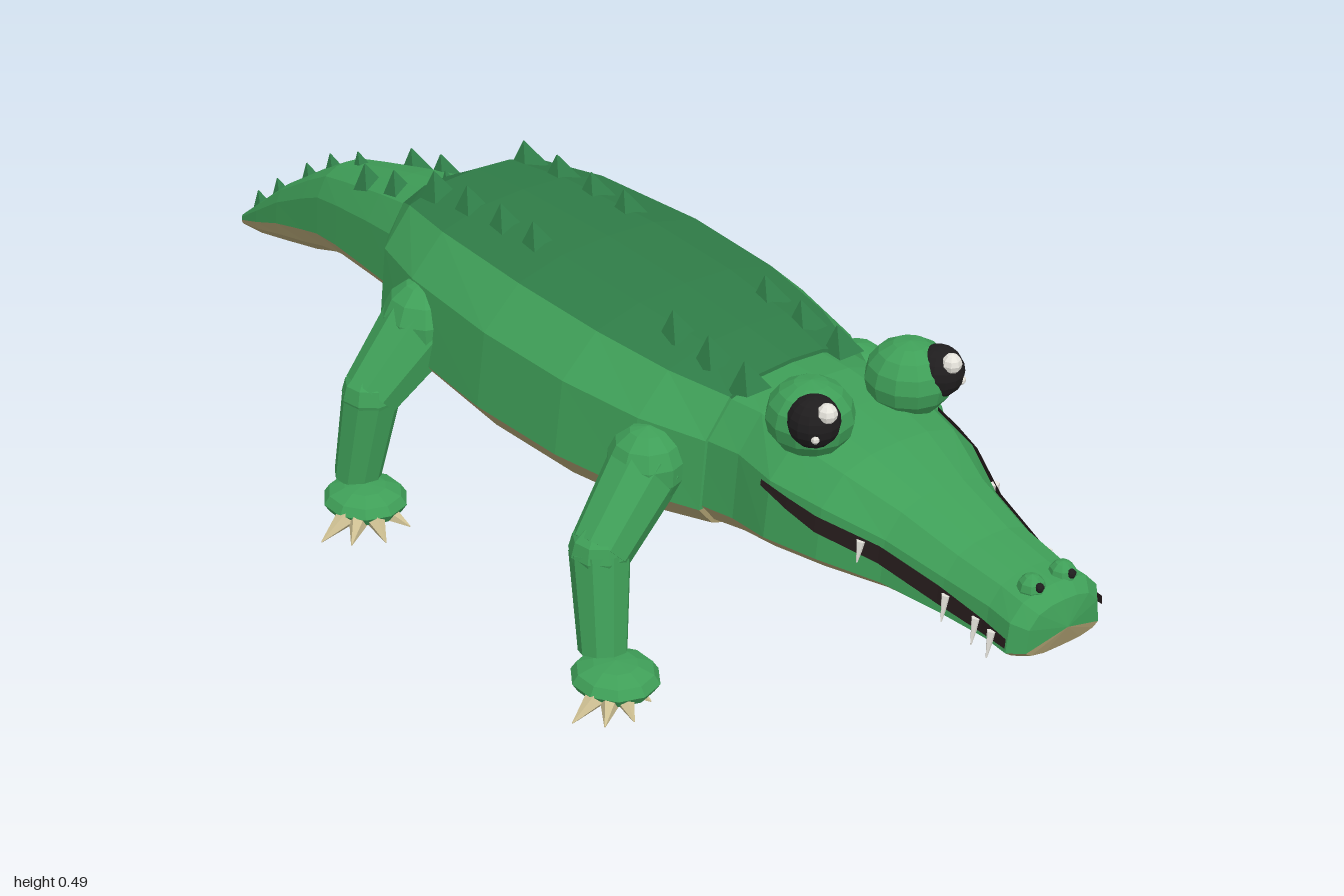
import * as THREE from 'three';

const mat = (name, color) => Object.assign(new THREE.MeshStandardMaterial({ color }), { name });
const V = (x, y, z) => new THREE.Vector3(x, y, z);

// Half cross-section from top centre to bottom centre: [width factor, height factor]
const HALF = [[0, 1], [0.35, 0.98], [0.68, 0.88], [0.94, 0.58], [1, 0], [0.86, -0.55], [0.5, -0.95], [0, -1]];
const RING = [...HALF, ...HALF.slice(1, -1).reverse().map(([w, v]) => [-w, v])];

// Sections: [x, top, colour seam, bottom, half width]
const TAIL = [
  [-1, 0.08, 0.07, 0.062, 0.005], [-0.93, 0.135, 0.1, 0.075, 0.022], [-0.84, 0.205, 0.14, 0.1, 0.04],
  [-0.74, 0.27, 0.175, 0.128, 0.056], [-0.68, 0.305, 0.195, 0.15, 0.066], [-0.61, 0.325, 0.207, 0.172, 0.077],
  [-0.5, 0.355, 0.217, 0.182, 0.094], [-0.39, 0.38, 0.225, 0.19, 0.11],
];
const BODY = [
  [-0.41, 0.385, 0.22, 0.188, 0.12], [-0.33, 0.43, 0.235, 0.183, 0.185], [-0.21, 0.443, 0.242, 0.175, 0.222],
  [0, 0.45, 0.246, 0.168, 0.244], [0.18, 0.447, 0.246, 0.17, 0.238], [0.32, 0.438, 0.243, 0.176, 0.21],
  [0.42, 0.428, 0.24, 0.188, 0.165],
];
const HEAD = [
  [0.38, 0.42, 0.242, 0.184, 0.165], [0.48, 0.425, 0.252, 0.202, 0.154], [0.56, 0.415, 0.264, 0.222, 0.165],
  [0.65, 0.4, 0.266, 0.23, 0.147], [0.74, 0.37, 0.258, 0.234, 0.108], [0.84, 0.343, 0.252, 0.237, 0.088],
  [0.92, 0.332, 0.25, 0.236, 0.08], [0.965, 0.328, 0.25, 0.235, 0.084], [0.985, 0.312, 0.252, 0.24, 0.066],
];

// Faceted skin through the sections; one material group per colour
function loft(name, sections, materials, pick) {
  const n = RING.length, buckets = materials.map(() => []);
  const rings = sections.map(([x, top, seam, low, w]) =>
    RING.map(([a, v]) => V(x, seam + v * (v > 0 ? top - seam : seam - low), a * w)));
  const first = sections[0], last = sections.at(-1);
  const start = V(first[0], first[2], 0), end = V(last[0] + 0.01, last[2] + 0.022, 0);
  for (let k = 0; k < n; k++) {
    const j = (k + 1) % n, out = buckets[pick(Math.min(k, n - 1 - k))];
    out.push(start, rings[0][j], rings[0][k]);
    for (let i = 0; i + 1 < rings.length; i++) {
      const a = rings[i][k], b = rings[i + 1][k], c = rings[i + 1][j], d = rings[i][j];
      out.push(a, d, c, a, c, b);
    }
    out.push(end, rings.at(-1)[k], rings.at(-1)[j]);
  }
  const geo = new THREE.BufferGeometry().setFromPoints(buckets.flat());
  let at = 0;
  buckets.forEach((b, i) => { geo.addGroup(at, b.length, i); at += b.length; });
  geo.computeVertexNormals();
  const mesh = new THREE.Mesh(geo, materials);
  mesh.name = name;
  return mesh;
}

// Point on the side of the head at a given x and y
function headSide(x, y, s, off) {
  const i = Math.max(0, HEAD.findIndex(h => h[0] >= x) - 1), a = HEAD[i], b = HEAD[i + 1];
  const t = (x - a[0]) / (b[0] - a[0]);
  const [, top, seam, , w] = a.map((p, k) => p + (b[k] - p) * t);
  const v = (y - seam) / (top - seam);
  const f = v < 0.58 ? 1 - 0.103 * v : 0.94 - 0.87 * (v - 0.58);
  return V(x, y, s * (w * f + off));
}

export function createModel() {
  const model = new THREE.Group();
  model.name = 'crocodile';
  const green = mat('skin green', 0x3f9f58), back = mat('back green', 0x2f7c47);
  const tan = mat('belly tan', 0xa99b6e), claw = mat('claw tan', 0xcdbf92);
  const dark = mat('mouth dark', 0x261c1c), black = mat('eye black', 0x1f1d1e);
  const white = mat('tooth white', 0xe6e4dc);
  dark.side = THREE.DoubleSide;

  function add(parent, name, geometry, material, p) {
    const geo = geometry.index ? geometry.toNonIndexed() : geometry;
    geo.computeVertexNormals();
    const mesh = new THREE.Mesh(geo, material);
    mesh.name = name;
    if (p) mesh.position.copy(p);
    parent.add(mesh);
    return mesh;
  }
  const ball = (parent, name, p, r, material, ws = 10, hs = 7) =>
    add(parent, name, new THREE.SphereGeometry(r, ws, hs), material, p);
  // Tapered rod from p to q
  function rod(parent, name, p, q, r0, r1, material, sides) {
    const d = q.clone().sub(p);
    const geo = new THREE.CylinderGeometry(r1, r0, d.length(), sides, 1, false, Math.PI / sides);
    const m = add(parent, name, geo, material, p.clone().add(q).multiplyScalar(0.5));
    m.quaternion.setFromUnitVectors(V(0, 1, 0), d.normalize());
    return m;
  }

  // Trunk
  const pick = k => (k >= 4 ? 1 : 0);
  model.add(loft('tail', TAIL, [green, tan], pick));
  model.add(loft('body', BODY, [green, tan, back], k => (k < 2 ? 2 : pick(k))));
  model.add(loft('head', HEAD, [green, tan], pick));

  // Back and tail spikes
  const topAt = (list, x) => {
    const i = Math.max(0, list.findIndex(s => s[0] >= x) - 1), a = list[i], b = list[i + 1];
    return a[1] + (b[1] - a[1]) * (x - a[0]) / (b[0] - a[0]);
  };
  const spike = (x, y, z, r) =>
    rod(model, 'spike', V(x, y - 0.012, z), V(x - 0.012, y + r * 0.9, z), r, 0.001, back, 4);
  for (const s of [1, -1]) {
    for (const x of [-0.31, -0.225, -0.14, -0.06, 0.27, 0.35, 0.43])
      spike(x, topAt(BODY, Math.min(x, 0.41)) - 0.006, s * 0.085, 0.032);
    for (const x of [-0.555, -0.475]) spike(x, topAt(TAIL, x) - 0.006, s * 0.045, 0.027);
  }
  for (const x of [-0.94, -0.88, -0.79, -0.72, -0.64, -0.4]) spike(x, topAt(TAIL, x), 0, 0.018);

  // Legs: x positions of hip, knee, ankle and foot
  const LEGS = [
    { name: 'frontLeg', xs: [0.34, 0.36, 0.39, 0.43], r: 0.06,
      claws: [[0.465, 0.425], [0.5, 0.395], [0.515, 0.355], [0.49, 0.305]] },
    { name: 'hindLeg', xs: [-0.195, -0.2, -0.218, -0.185], r: 0.068,
      claws: [[-0.145, 0.43], [-0.11, 0.4], [-0.085, 0.355], [-0.1, 0.3]] },
  ];
  for (const s of [1, -1]) {
    for (const { name, xs, r, claws } of LEGS) {
      const leg = new THREE.Group();
      leg.name = name;
      model.add(leg);
      const hip = V(xs[0], 0.292, s * 0.195), knee = V(xs[1], 0.195, s * 0.295), ankle = V(xs[2], 0.05, s * 0.313);
      ball(leg, 'hip', hip, r, green);
      rod(leg, 'thigh', hip, knee, r * 0.95, 0.046, green, 9);
      ball(leg, 'knee', knee, 0.046, green, 9, 6);
      rod(leg, 'shin', knee, ankle, 0.045, 0.036, green, 9);
      const foot = V(xs[3], 0.03, s * 0.322);
      ball(leg, 'foot', foot, 1, green, 10, 6).scale.set(0.068, 0.027, 0.064);
      for (const [x, z] of claws) {
        const tip = V(x, 0.012, s * z);
        const base = foot.clone().lerp(tip, 0.45).setY(0.022);
        rod(leg, 'claw', base, tip, 0.016, 0.001, claw, 5);
      }
    }

    // Eye with bulging lid and glints
    const eye = new THREE.Group();
    eye.name = 'eye';
    model.add(eye);
    ball(eye, 'eyelid', V(0.566, 0.435, s * 0.09), 1, green, 12, 8).scale.set(0.064, 0.056, 0.063);
    ball(eye, 'eyeball', V(0.6, 0.45, s * 0.113), 0.038, black, 14, 10);
    ball(eye, 'largeGlint', V(0.627, 0.473, s * 0.113), 0.015, white, 8, 6);
    ball(eye, 'smallGlint', V(0.627, 0.44, s * 0.133), 0.007, white, 6, 5);

    // Mouth line: [x, upper y, lower y]
    const line = [[0.55, 0.352, 0.343], [0.6, 0.344, 0.326], [0.65, 0.335, 0.311], [0.74, 0.317, 0.291],
      [0.84, 0.297, 0.27], [0.92, 0.282, 0.262], [0.968, 0.275, 0.261]];
    const pts = [];
    for (let i = 0; i + 1 < line.length; i++) {
      const [a, b, c, d] = [[i, 1], [i + 1, 1], [i + 1, 2], [i, 2]]
        .map(([n, k]) => headSide(line[n][0], line[n][k], s, 0.009));
      pts.push(...(s > 0 ? [a, d, c, a, c, b] : [a, c, d, a, b, c]));
    }
    add(model, 'mouth', new THREE.BufferGeometry().setFromPoints(pts), dark);

    // Teeth: [x, root y, tip y]
    for (const [x, y0, y1] of [[0.715, 0.318, 0.286], [0.855, 0.29, 0.25], [0.91, 0.28, 0.24], [0.942, 0.276, 0.236]])
      rod(model, 'tooth', headSide(x, y0, s, 0.01), headSide(x, y1, s, 0.013), 0.007, 0.001, white, 5);

    // Nostrils
    ball(model, 'nostrilBump', V(0.95, 0.325, s * 0.028), 0.02, green, 8, 6);
    ball(model, 'nostrilHole', V(0.966, 0.332, s * 0.029), 0.007, black, 6, 5);
  }
  return model;
}
